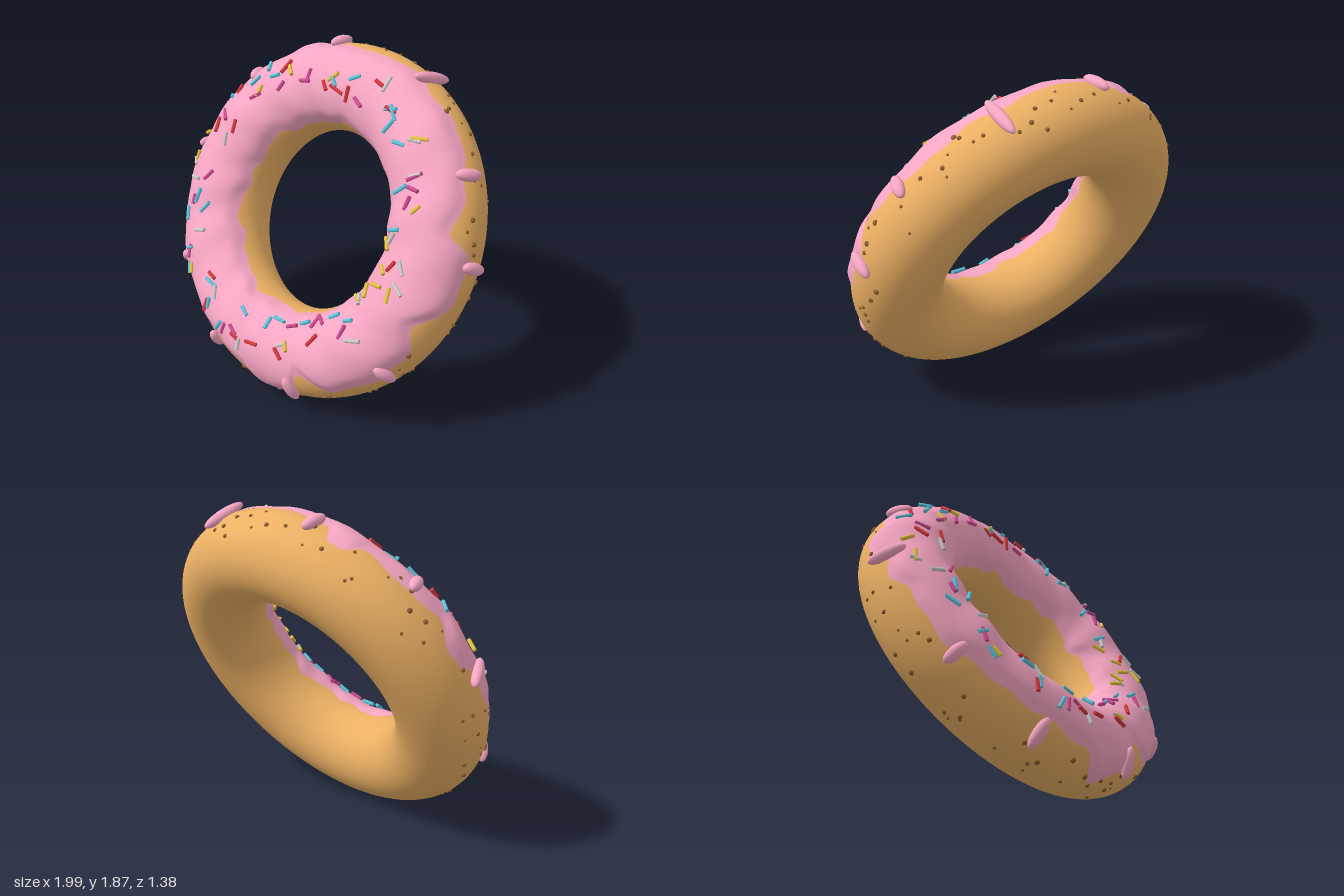
import * as THREE from 'three';

const R = 0.766, r = 0.25, RAD = Math.PI / 180, TAU = Math.PI * 2;
const material = (color) => new THREE.MeshStandardMaterial({ color });

// Small seeded random generator
let seed = 7;
const rand = (a = 0, b = 1) => {
  seed = (seed * 16807) % 2147483647;
  return a + (b - a) * (seed / 2147483647);
};

// Outer rim of the icing: [angle round the ring, angle round the tube] in degrees
const RIM = [
  [-180, 34], [-163, 30], [-144, 42], [-120, 47], [-105, 39], [-97, 5], [-84, 28], [-78, 60],
  [-66, 28], [-50, 20], [-38, 22], [-29, 42], [-15, 10], [-3, 12], [4, 42], [17, 26], [37, 18],
  [48, 28], [62, 22], [76, 34], [90, 32], [98, 24], [102, 4], [107, 5], [112, 22], [130, 14],
  [140, 24], [148, 2], [155, 6], [163, 26], [172, 20], [180, 34],
];

function outerRim(deg) {
  const i = Math.max(1, RIM.findIndex((p) => p[0] >= deg));
  const [a, fa] = RIM[i - 1], [b, fb] = RIM[i];
  const wobble = 2 * Math.sin(deg * RAD * 23);
  return THREE.MathUtils.lerp(fa, fb, THREE.MathUtils.smoothstep(deg, a, b)) + wobble;
}

const innerRim = (t) =>
  153 + 3.5 * Math.sin(7 * t + 1) + 3 * Math.sin(13 * t) + 2 * Math.sin(22 * t) + 2 * Math.cos(t);

const lump = (t, f) =>
  0.006 * Math.sin(9 * t + 2 * Math.sin(2 * t)) * Math.sin(f) + 0.003 * Math.sin(17 * t + 3 * f);

// Point at tube radius d, in ring coordinates (ring axis is z)
function ringPoint(t, f, d) {
  const q = R + d * Math.cos(f);
  return new THREE.Vector3(q * Math.cos(t), q * Math.sin(t), d * Math.sin(f));
}

// Put a mesh on the surface: x along the ring, y outward, z round the tube
function place(mesh, t, f, d) {
  const along = new THREE.Vector3(-Math.sin(t), Math.cos(t), 0);
  const out = new THREE.Vector3(Math.cos(f) * Math.cos(t), Math.cos(f) * Math.sin(t), Math.sin(f));
  const around = new THREE.Vector3().crossVectors(along, out);
  mesh.quaternion.setFromRotationMatrix(new THREE.Matrix4().makeBasis(along, out, around));
  mesh.position.copy(ringPoint(t, f, d));
  return mesh;
}

// Thin lumpy shell between the two wavy rims, its edges meeting the dough
function icingGeometry() {
  const N = 480, M = 28, pos = [], index = [];
  for (let i = 0; i < N; i++) {
    const deg = -180 + (360 * i) / N, t = deg * RAD;
    const f0 = outerRim(deg) * RAD, f1 = innerRim(t) * RAD;
    for (let j = 0; j <= M; j++) {
      const s = j / M, f = f0 + (f1 - f0) * s;
      const edge = THREE.MathUtils.smoothstep(Math.min(s, 1 - s), 0, 0.18);
      const d = r + 0.001 + edge * (0.016 + lump(t, f));
      pos.push(...ringPoint(t, f, d).toArray());
      if (j < M) {
        const a = i * (M + 1) + j, b = ((i + 1) % N) * (M + 1) + j;
        index.push(a, b, a + 1, b, b + 1, a + 1);
      }
    }
  }
  const g = new THREE.BufferGeometry();
  g.setAttribute('position', new THREE.Float32BufferAttribute(pos, 3));
  g.setIndex(index);
  g.computeVertexNormals();
  return g;
}

export function createModel() {
  seed = 7;
  const model = new THREE.Group();
  model.name = 'doughnut';
  const ring = new THREE.Group();
  ring.name = 'tiltedRing';
  ring.rotation.set(-0.513, -0.318, 0);
  ring.position.set(0, 0.93, -0.025);
  model.add(ring);

  const add = (parent, name, geometry, mat) => {
    const mesh = new THREE.Mesh(geometry, mat);
    mesh.name = name;
    parent.add(mesh);
    return mesh;
  };
  const group = (name) => {
    const g = new THREE.Group();
    g.name = name;
    ring.add(g);
    return g;
  };

  // Dough and icing
  const pink = material(0xf7a6c3);
  add(ring, 'dough', new THREE.TorusGeometry(R, r, 64, 160), material(0xebb064));
  add(ring, 'icing', icingGeometry(), pink);

  // Drips round the outer rim: ring angle, tube angle, half length
  const drips = group('drips');
  const dripGeo = new THREE.SphereGeometry(1, 20, 14);
  const DRIPS = [
    [-5, 2, 0.09], [22, 21, 0.085], [57, 9, 0.14], [94, 20, 0.09], [129, 34, 0.08],
    [162, 26, 0.11], [-156, 32, 0.075], [-123, 28, 0.09], [-83, 38, 0.09], [-47, 25, 0.08],
  ];
  for (const [t, f, len] of DRIPS) {
    const drip = place(add(drips, 'drip', dripGeo, pink), t * RAD, f * RAD, r + 0.01);
    drip.scale.set(0.035, 0.034, len);
  }

  // Sprinkles lying on the icing at random angles, further out at the upper right side
  const sprinkles = group('sprinkles');
  const colors = [0xd8383c, 0xe6c33f, 0xf2f2f2, 0x5cc4de, 0xd24a94].map(material);
  const sprinkleGeo = new THREE.CylinderGeometry(0.011, 0.011, 1, 8);
  sprinkleGeo.rotateZ(Math.PI / 2);
  const SPRINKLES = 90;
  for (let i = 0; i < SPRINKLES; i++) {
    const t = ((i + rand(-1.2, 1.2)) / SPRINKLES) * TAU;
    const f = (90 - 17 * Math.cos(t - 130 * RAD) + rand(-26, 26)) * RAD;
    const color = colors[Math.floor(rand(0, 5))];
    const s = place(add(sprinkles, 'sprinkle', sprinkleGeo, color), t, f, r + 0.024);
    s.rotateY(rand(0, Math.PI));
    s.rotateZ(rand(-0.15, 0.15));
    s.scale.x = rand(0.06, 0.095);
  }

  // Brown crumbs on the bare outer side of the dough
  const crumbs = group('crumbs');
  const crumbGeo = new THREE.SphereGeometry(1, 10, 8);
  const brown = material(0x8f5f30);
  const CRUMBS = 90;
  for (let i = 0; i < CRUMBS; i++) {
    const c = add(crumbs, 'crumb', crumbGeo, brown);
    place(c, ((i + rand(-2, 2)) / CRUMBS) * TAU, rand(-32, 24) * RAD, r + 0.002);
    const k = rand(0.007, 0.016);
    c.scale.set(k, k * 0.7, k);
  }
  return model;
}
